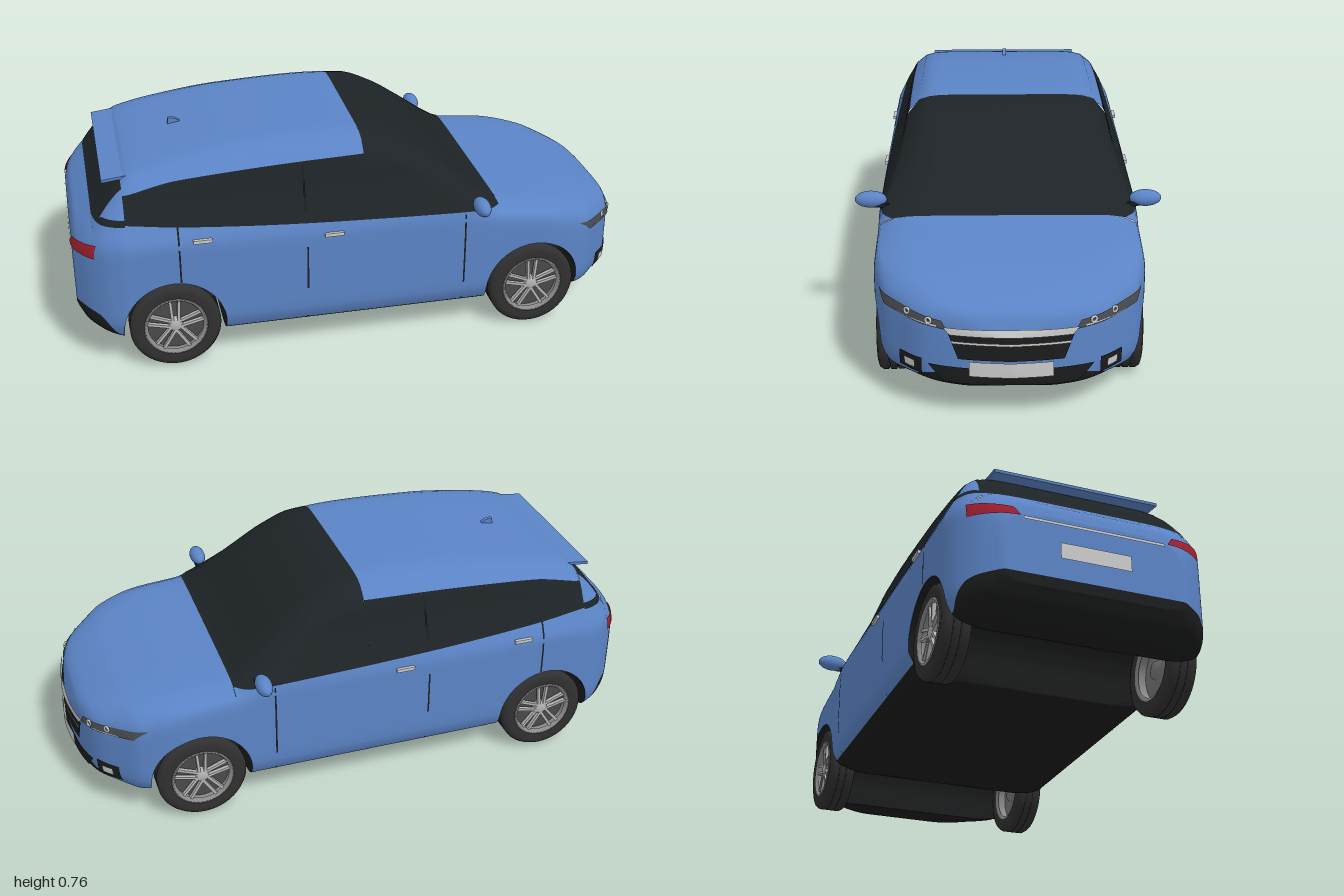
import * as THREE from 'three';
import { mergeVertices } from 'three/addons/utils/BufferGeometryUtils.js';

const BLUE = 0x5b84c6, GLASS = 0x1d2326, BLACK = 0x1b1c1d, TYRE = 0x303030, GREY = 0xcccccc, RED = 0xa02030;
const mat = (color, side = THREE.FrontSide) => new THREE.MeshStandardMaterial({ color, side });

// Smooth monotone curve through [x, value] knots
function curve(k) {
  const d = k.slice(1).map((p, i) => (p[1] - k[i][1]) / (p[0] - k[i][0]));
  const m = k.map((_, i) => i === 0 ? d[0] : i === d.length ? d[i - 1]
    : d[i - 1] * d[i] <= 0 ? 0 : 2 * d[i - 1] * d[i] / (d[i - 1] + d[i]));
  return x => {
    if (x <= k[0][0]) return k[0][1];
    if (x >= k[k.length - 1][0]) return k[k.length - 1][1];
    let i = 0;
    while (x > k[i + 1][0]) i++;
    const h = k[i + 1][0] - k[i][0], t = (x - k[i][0]) / h, u = 1 - t;
    return k[i][1] * (1 + 2 * t) * u * u + h * m[i] * t * u * u
      + k[i + 1][1] * t * t * (3 - 2 * t) - h * m[i + 1] * t * t * u;
  };
}

// Profiles that define the body surface
const MID = 0.28;
const top = curve([[-1, .45], [-.985, .495], [-.96, .52], [-.92, .555], [-.87, .62], [-.83, .662], [-.79, .688], [-.6, .73],
  [-.42, .753], [-.12, .765], [.06, .755], [.17, .71], [.275, .64], [.435, .515], [.48, .49], [.65, .475], [.81, .45],
  [.917, .41], [.97, .375], [1, .3]]);
const bottom = curve([[-1, .2], [-.965, .15], [-.85, .1], [-.78, .09], [.78, .09], [.89, .105], [.97, .12], [.99, .14], [1, .18]]);
const plan = curve([[-1, 0], [-.999, .3], [-.985, .33], [-.944, .385], [-.88, .43], [-.82, .445], [.65, .445], [.8, .415],
  [.885, .345], [.94, .28], [.97, .2], [.99, .1], [1, 0]]);
const tumble = curve([[.2, 1], [.46, 1], [.548, .925], [.62, .86], [.7, .828], [.765, .81]]);
const crown = curve([[-1, 5], [-.9, 9], [.48, 9], [.85, 4.5]]);
const belt = curve([[-.82, .552], [-.63, .53], [-.2, .503], [.48, .48]]);
const rail = curve([[-.82, .636], [-.63, .674], [-.2, .7], [0, .705]]);
const sillTop = curve([[-1, .24], [-.93, .22], [-.86, .14], [-.8, .128], [.88, .13], [.95, .16], [1, .2]]);

// Wheel arches
const WHEELS = [-.676, .608], AXLE = .157, ARCH = .175;
const floorY = x => {
  let y = bottom(x) + .003;
  for (const c of WHEELS) if (Math.abs(x - c) < ARCH) y = Math.max(y, AXLE + Math.sqrt(ARCH ** 2 - (x - c) ** 2));
  return y;
};
const sill = x => Math.max(floorY(x), sillTop(x));

// Half width of the body at a given length and height
function halfWidth(x, y) {
  const up = y > MID, n = up ? crown(x) : 6;
  const t = Math.min(1, (y - MID) / ((up ? top(x) : bottom(x)) - MID));
  return plan(x) * tumble(y) * Math.pow(1 - Math.pow(t, n), 1 / n);
}

const STATIONS = [];
for (let k = -80; k <= 80; k++) STATIONS.push(Math.sin(Math.PI * k / 160));
for (const c of WHEELS) {
  for (let k = 0; k <= 24; k++) STATIONS.push(c + ARCH * .9999 * Math.cos(Math.PI * k / 24));
  STATIONS.push(c - ARCH - 1e-4, c + ARCH + 1e-4);
}
STATIONS.push(-.999);
const stations = (a, b) => [a, ...STATIONS.filter(x => x > a + 1e-5 && x < b - 1e-5).sort((p, q) => p - q), b];

// Mesh from rows of points
function sheet(rows, flip = false) {
  const pos = rows.flat(2), idx = [], n = rows[0].length;
  for (let i = 0; i < rows.length - 1; i++) for (let j = 0; j < n - 1; j++) {
    const a = i * n + j, b = a + n;
    idx.push(...(flip ? [a, b + 1, b, a, a + 1, b + 1] : [a, b, b + 1, a, b + 1, a + 1]));
  }
  return { pos, idx };
}
function toMesh(name, color, sheets, side) {
  const pos = [], idx = [];
  for (const s of sheets) {
    const o = pos.length / 3;
    for (const v of s.pos) pos.push(v);
    for (const v of s.idx) idx.push(v + o);
  }
  let g = new THREE.BufferGeometry();
  g.setAttribute('position', new THREE.Float32BufferAttribute(pos, 3));
  g.setIndex(idx);
  g = mergeVertices(g, 1e-5);
  g.computeVertexNormals();
  const m = new THREE.Mesh(g, mat(color, side));
  m.name = name;
  return m;
}

// Band of body skin between two height lines; without an upper line it closes over the top
function skin(name, color, x0, x1, lo, hi) {
  const sheets = [1, -1].map(s => sheet(stations(x0, x1).map(x => {
    const T = top(x), n = crown(x), a = lo(x), row = [];
    const b = hi ? Math.max(a, hi(x)) : Math.max(a, MID + .85 * (T - MID));
    for (let j = 0; j <= 14; j++) {
      const y = a + (b - a) * j / 14;
      row.push([x, y, s * halfWidth(x, y)]);
    }
    if (!hi) {
      const f0 = Math.pow(1 - Math.pow(Math.min(1, (b - MID) / (T - MID)), n), 1 / n);
      for (let j = 1; j <= 10; j++) {
        const f = f0 * (1 - j / 10), y = MID + (T - MID) * Math.pow(1 - Math.pow(f, n), 1 / n);
        row.push([x, y, s * plan(x) * tumble(y) * f]);
      }
    }
    return row;
  }), s < 0));
  return toMesh(name, color, sheets);
}

// Trim laid on the skin: four corners, (x, y) on the side or (z, y) on the ends
function patch(name, color, where, c, lift = .005) {
  const rows = [];
  for (let i = 0; i <= 16; i++) rows.push([...Array(5).keys()].map(j => {
    const u = i / 16, v = j / 4;
    const at = k => (c[0][k] * (1 - u) + c[1][k] * u) * (1 - v) + (c[3][k] * (1 - u) + c[2][k] * u) * v;
    const p = at(0), y = at(1);
    return Math.abs(where) === 2 ? [p, y, Math.sign(where) * (halfWidth(p, y) + lift)]
      : [endX(p, y, where) + where * lift, y, p * (1 + lift)];
  }));
  return toMesh(name, color, [sheet(rows)], THREE.DoubleSide);
}
function endX(z, y, dir) {
  let a = .5, b = 1;
  for (let i = 0; i < 30; i++) {
    const m = (a + b) / 2;
    if (halfWidth(dir * m, y) >= Math.abs(z) + .002) a = m; else b = m;
  }
  return dir * a;
}
const rect = (a, b, y0, y1) => [[a, y0], [b, y0], [b, y1], [a, y1]];

function solid(name, geo, color, x, y, z) {
  const m = new THREE.Mesh(geo, mat(color));
  m.name = name;
  m.position.set(x, y, z);
  return m;
}

function wheel(x, side) {
  const g = new THREE.Group();
  g.name = 'wheel';
  const lathe = (name, color, pts) => {
    const geo = new THREE.LatheGeometry(pts.map(p => new THREE.Vector2(...p)), 48).rotateX(Math.PI / 2);
    const m = new THREE.Mesh(geo, mat(color, THREE.DoubleSide));
    m.name = name;
    g.add(m);
  };
  lathe('tyre', TYRE, [[.108, -.047], [.135, -.05], [.15, -.045], [.157, -.034], [.157, -.017], [.151, -.015], [.151, -.011],
    [.157, -.009], [.157, .009], [.151, .011], [.151, .015], [.157, .017], [.157, .034], [.15, .045], [.135, .05], [.108, .047]]);
  lathe('rim', 0x8a8a8a, [[.095, -.04], [.11, -.047], [.11, -.04], [.1, 0], [.1, .036], [.11, .047], [.102, .05], [.095, .036]]);
  lathe('wheelDisc', 0x48494a, [[0, .015], [.1, .015]]);
  lathe('innerDisc', 0x777777, [[0, -.03], [.03, -.03], [.035, -.015], [.1, -.01]]);
  lathe('hub', 0xb5b5b5, [[0, .043], [.016, .043], [.024, .036], [.024, .015]]);
  for (let i = 0; i < 5; i++) for (const d of [-1, 1]) {
    const s = solid('spoke', new THREE.BoxGeometry(.086, .01, .014).translate(.059, d * .009, .034), 0xb5b5b5, 0, 0, 0);
    s.rotation.z = i * Math.PI * .4 + Math.PI / 2 + d * .07;
    g.add(s);
  }
  g.position.set(x, AXLE, side * .388);
  if (side < 0) g.rotation.y = Math.PI;
  return g;
}

export function createModel() {
  const car = new THREE.Group();
  car.name = 'car';

  // Painted body, glass and underside
  const lowRear = () => .547, panel = x => Math.max(.547, top(x) - .018), strip = x => Math.min(.568, panel(x));
  car.add(
    skin('sill', BLACK, -1, 1, floorY, sill),
    skin('bodySides', BLUE, -.82, .478, sill, belt),
    skin('hoodAndNose', BLUE, .478, 1, sill),
    skin('tail', BLUE, -1, -.925, sill),
    skin('rearQuarter', BLUE, -.925, -.82, sill, lowRear),
    skin('quarterTrim', GLASS, -.925, -.82, lowRear, strip),
    skin('rearPillar', BLUE, -.925, -.82, strip, panel),
    skin('rearWindow', GLASS, -.925, -.82, panel),
    skin('sideWindows', GLASS, -.82, 0, belt, rail),
    skin('roof', BLUE, -.82, 0, rail),
    skin('windscreen', GLASS, 0, .478, belt),
    toMesh('underside', BLACK, [sheet(stations(-1, 1).map(x => {
      const y = floorY(x), w = halfWidth(x, y);
      return [[x, y, -w], [x, y, 0], [x, y, w]];
    }))], THREE.DoubleSide));

  // Front and rear centre trim
  car.add(
    patch('grille', BLACK, 1, [[-.165, .225], [.165, .225], [.195, .31], [-.195, .31]]),
    patch('chromeBar', GREY, 1, [[-.19, .308], [.19, .308], [.21, .332], [-.21, .332]], .009),
    patch('grilleStrip', GREY, 1, rect(-.185, .185, .279, .288), .009),
    patch('lowerIntake', BLACK, 1, [[-.21, .135], [.21, .135], [.26, .195], [-.26, .195]]),
    patch('frontPlate', GREY, 1, rect(-.13, .13, .17, .222), .012),
    patch('tailStrip', GREY, -1, rect(-.24, .24, .425, .435)),
    patch('rearPlate', GREY, -1, rect(-.12, .12, .31, .365), .004));

  // Parts on both sides
  for (const s of [1, -1]) {
    const m = c => c.map(([z, y]) => [z * s, y]);
    car.add(
      patch('headlight', 0x4a4d50, 1, m([[.2, .322], [.4, .342], [.418, .378], [.215, .35]])),
      patch('headlightStrip', GREY, 1, m([[.23, .33], [.36, .34], [.36, .344], [.23, .335]]), .008),
      patch('fogSurround', BLACK, 1, m(rect(.28, .352, .15, .208))),
      patch('fogLight', GREY, 1, m(rect(.302, .335, .166, .194)), .009),
      patch('tailLight', RED, -1, m([[.25, .435], [.4, .435], [.4, .485], [.27, .465]])));
    for (const [z, y] of [[.325, .355], [.257, .346]]) {
      const lamp = solid('lamp', new THREE.TorusGeometry(.009, .004, 8, 20), 0xf0f0f0, endX(z, y, 1) + .006, y, s * z);
      lamp.rotation.y = Math.PI / 2 - s * .5;
      car.add(lamp);
    }
    for (const [x, y0, y1] of [[.345, .13, .478], [-.215, .13, .69], [-.65, .335, .535]])
      car.add(patch('doorSeam', BLACK, 2 * s, rect(x - .003, x + .003, y0, y1), .002));
    for (const [x, y] of [[-.57, .484], [-.123, .46]])
      car.add(solid('doorHandle', new THREE.BoxGeometry(.065, .012, .012), GREY, x, y, s * (halfWidth(x, y) + .004)));
    car.add(
      solid('mirror', new THREE.SphereGeometry(1, 24, 16).scale(.028, .029, .055), BLUE, .392, .516, s * .47),
      solid('mirrorArm', new THREE.BoxGeometry(.03, .012, .06), BLACK, .395, .499, s * .425));
    for (const x of WHEELS) car.add(wheel(x, s));
  }

  // Spoiler and roof fin
  const spoiler = solid('spoiler', new THREE.BoxGeometry(.085, .01, .58), BLUE, -.84, .668, 0);
  spoiler.rotation.z = .12;
  const fin = new THREE.Shape([[-.035, -.01], [.03, -.01], [-.005, .016], [-.03, .02]].map(p => new THREE.Vector2(...p)));
  car.add(spoiler, solid('roofFin', new THREE.ExtrudeGeometry(fin, { depth: .014, bevelEnabled: false }), BLUE, -.595, .728, -.007));
  return car;
}
